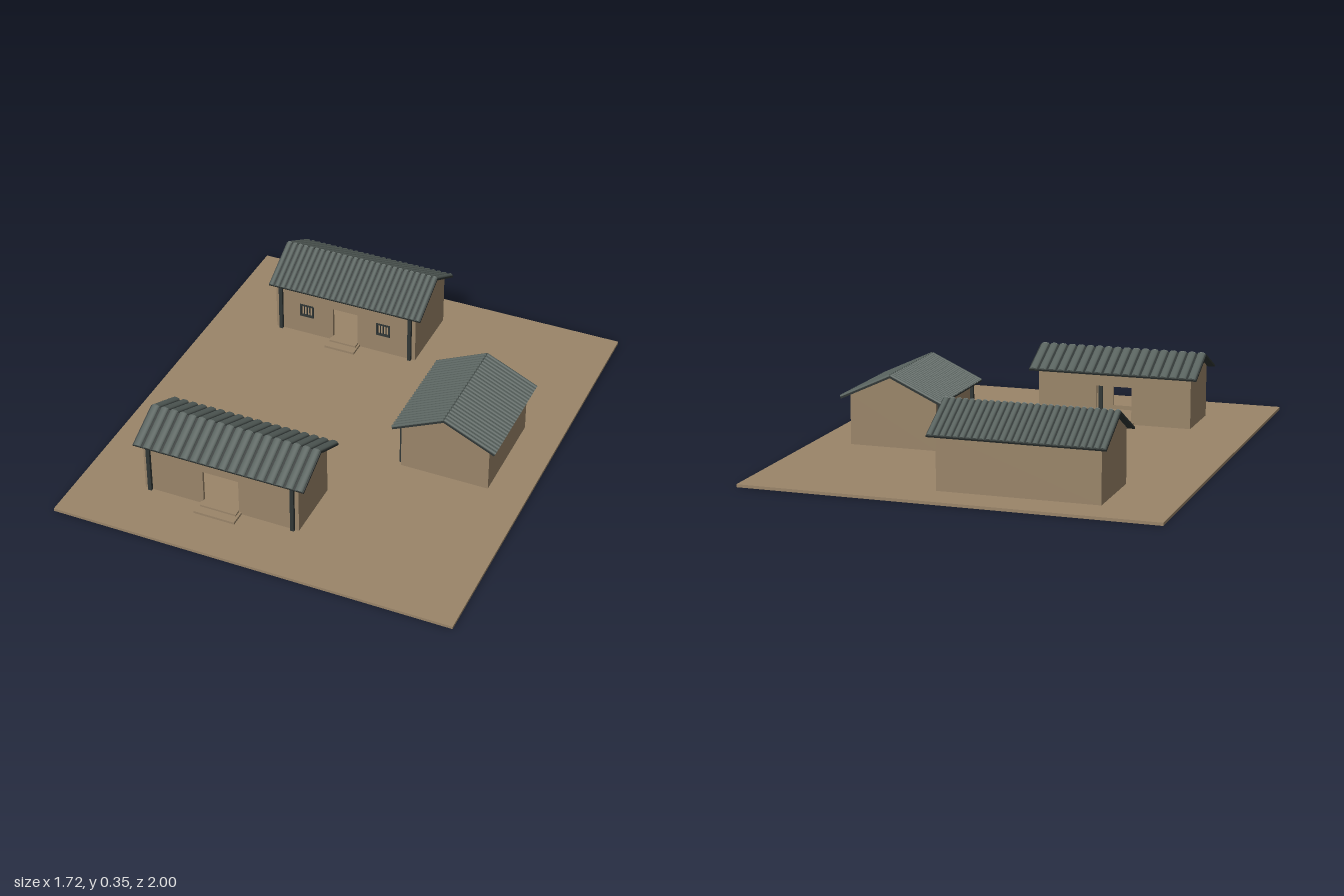
import * as THREE from 'three';
import { mergeGeometries } from 'three/addons/utils/BufferGeometryUtils.js';

const mat = (name, color) => Object.assign(new THREE.MeshStandardMaterial({ color }), { name });
const earth = mat('earth', 0x9a8569);
const tile = mat('slate tile', 0x58625e);
const dark = mat('dark slate', 0x303635);
const GROUND = 0.012, WALL = 0.012;

function add(parent, name, geo, material, x = 0, y = 0, z = 0) {
  const m = new THREE.Mesh(geo, material);
  m.name = name;
  m.position.set(x, y, z);
  parent.add(m);
  return m;
}
const box = (w, h, d) => new THREE.BoxGeometry(w, h, d);
const extrude = (shape) => new THREE.ExtrudeGeometry(shape, { depth: WALL, bevelEnabled: false });
const polygon = (pts) => new THREE.Shape(pts.map(([x, y]) => new THREE.Vector2(x, y)));

// Long wall with an optional door notch and window holes
function longWall(length, top, door, windows) {
  const h = length / 2, d = door / 2, b = GROUND;
  const notch = door ? [[-d, b], [-d, 0.175], [d, 0.175], [d, b]] : [];
  const shape = polygon([[-h, b], ...notch, [h, b], [h, top], [-h, top]]);
  for (const x of windows) {
    shape.holes.push(new THREE.Path([[-1, -1], [-1, 1], [1, 1], [1, -1]]
      .map(([i, j]) => new THREE.Vector2(x + i * 0.03, 0.13 + j * 0.027))));
  }
  return extrude(shape);
}

// Lattice window: dark frame and thin bars
function addWindow(house, x, z) {
  const g = new THREE.Group();
  g.name = 'latticeWindow';
  g.position.set(x, 0.13, z);
  house.add(g);
  for (const s of [-1, 1]) {
    add(g, 'windowFrameSide', box(0.008, 0.062, 0.009), dark, s * 0.029);
    add(g, 'windowFrameRail', box(0.066, 0.008, 0.009), dark, 0, s * 0.027);
  }
  for (const i of [-1, 0, 1]) add(g, 'windowBar', box(0.004, 0.05, 0.005), dark, i * 0.013);
}

// Two shallow steps in front of a door, s is the outward direction
function addSteps(house, width, z, s) {
  add(house, 'lowerStep', box(width, 0.01, 0.075), earth, 0, GROUND + 0.005, z + s * 0.032);
  add(house, 'upperStep', box(width * 0.88, 0.018, 0.04), earth, 0, GROUND + 0.009, z + s * 0.012);
}

// Gable roof: two dark slabs covered with rows of half-round tiles
function addRoof(house, o) {
  const half = o.roofHalf, rise = o.ridge - o.eave;
  const angle = Math.atan2(rise, half), len = Math.hypot(rise, half);
  const pitch = o.roofLength / o.rows, r = pitch * o.fill / 2;
  const rows = [];
  for (let i = 0; i < o.rows; i++) {
    rows.push(new THREE.CylinderGeometry(r, r, len, 8, 1, false, Math.PI / 2, Math.PI)
      .rotateX(Math.PI / 2).scale(1, 0.008 / r, 1)
      .translate((i + 0.5) * pitch - o.roofLength / 2, 0, 0));
  }
  const tiles = mergeGeometries(rows);
  for (const s of [1, -1]) {
    const slope = new THREE.Group();
    slope.name = s > 0 ? 'frontRoofSlope' : 'backRoofSlope';
    slope.position.set(0, (o.ridge + o.eave) / 2 - 0.008, s * half / 2);
    slope.rotation.x = s * angle;
    add(slope, 'roofSlab', box(o.roofLength, 0.008, len), dark, 0, -0.004, 0);
    add(slope, 'tileRows', tiles, tile);
    house.add(slope);
  }
}

function makeHouse(o) {
  const house = new THREE.Group();
  house.name = o.name;
  const { length: L, front, back, door } = o;
  const peak = o.ridge - 0.018, k = (o.ridge - o.eave) / o.roofHalf;
  const topAt = (z) => peak - k * Math.abs(z);

  // Walls
  add(house, 'frontWall', longWall(L, topAt(front), door, o.windows), earth, 0, 0, front - WALL);
  add(house, 'backWall', longWall(L, topAt(back), o.backDoor ? door : 0, []), earth, 0, 0, back);
  const gable = extrude(polygon([[-front, GROUND], [-back, GROUND], [-back, topAt(back)],
    [0, peak], [-front, topAt(front)]])).rotateY(Math.PI / 2);
  add(house, 'leftGable', gable, earth, L / 2 - WALL);
  add(house, 'rightGable', gable, earth, -L / 2);

  // Posts under the front eave
  const postH = topAt(front) - GROUND;
  for (const s of [-1, 1]) {
    add(house, 'eavePost', box(0.016, postH, 0.016), dark, s * (L / 2 - 0.025), GROUND + postH / 2, front + 0.005);
  }

  // Openings and steps
  for (const x of o.windows) addWindow(house, x, front - 0.002);
  addSteps(house, o.stepWidth, front, 1);
  if (o.backDoor) {
    addSteps(house, o.stepWidth, back, -1);
    add(house, 'openDoorLeaf', box(0.018, 0.163, 0.008), dark, door / 2 - 0.014, 0.0935, back + 0.02);
  }
  addRoof(house, o);
  return house;
}

export function createModel() {
  const model = new THREE.Group();
  model.name = 'courtyard';
  add(model, 'ground', box(1.72, GROUND, 2), earth, 0, GROUND / 2, 0);

  const mainHall = makeHouse({
    name: 'mainHall', length: 0.665, front: 0.175, back: -0.16, door: 0.117, stepWidth: 0.14,
    windows: [-0.185, 0.18], roofLength: 0.72, roofHalf: 0.195, ridge: 0.35, eave: 0.245, rows: 27, fill: 0.8,
  });
  mainHall.position.set(-0.245, 0, -0.685);

  const gateHouse = makeHouse({
    name: 'gateHouse', length: 0.685, front: 0.145, back: -0.13, door: 0.158, stepWidth: 0.18, backDoor: true,
    windows: [], roofLength: 0.752, roofHalf: 0.17, ridge: 0.326, eave: 0.245, rows: 18, fill: 0.8,
  });
  gateHouse.position.set(-0.243, 0, 0.585);

  const sideHouse = makeHouse({
    name: 'sideHouse', length: 0.44, front: 0.192, back: -0.19, door: 0.11, stepWidth: 0.13,
    windows: [], roofLength: 0.5, roofHalf: 0.223, ridge: 0.329, eave: 0.226, rows: 25, fill: 0.8,
  });
  sideHouse.position.set(0.502, 0, -0.035);
  sideHouse.rotation.y = -Math.PI / 2;

  model.add(mainHall, gateHouse, sideHouse);
  return model;
}
